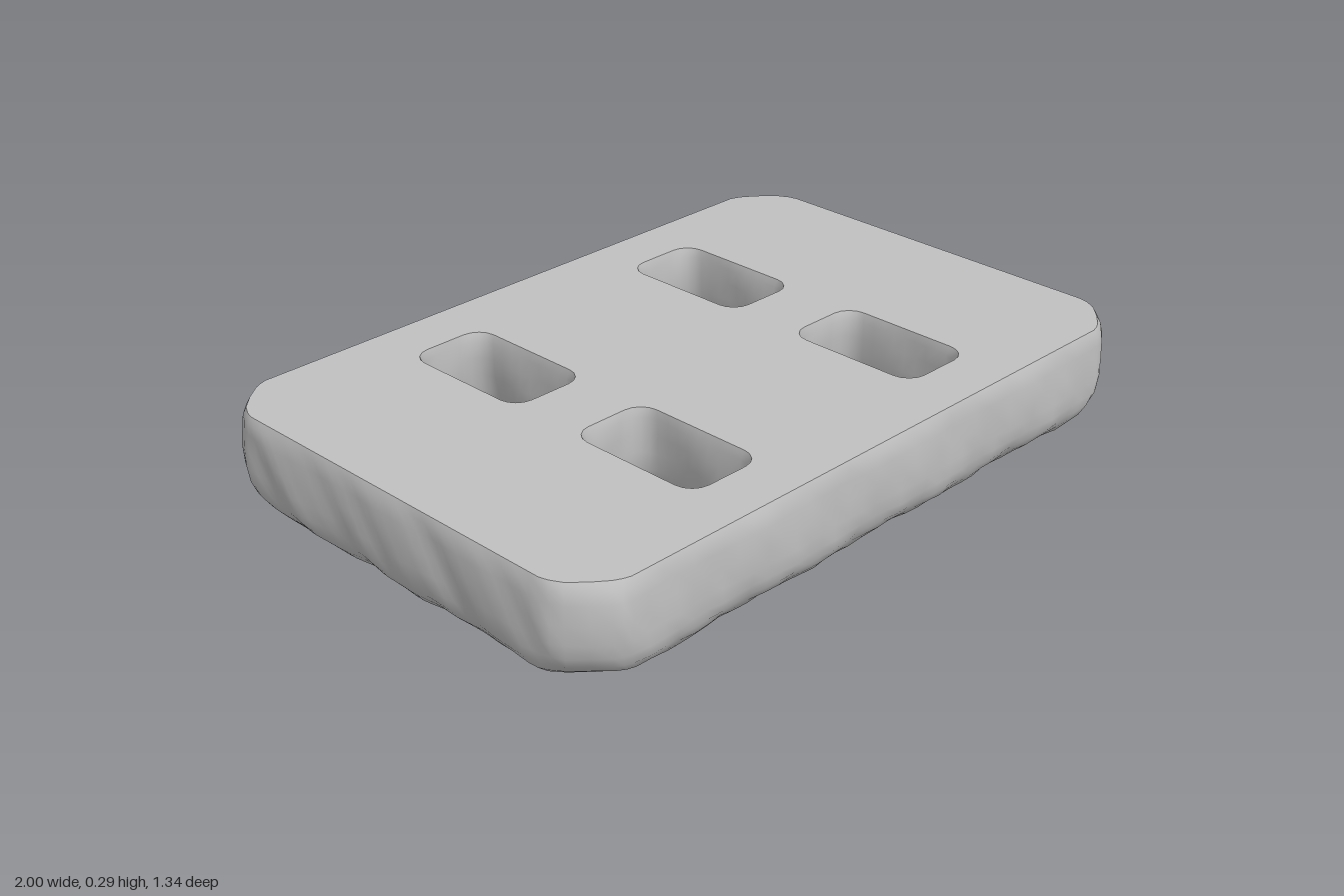
import * as THREE from 'three';

// Corner profiles: distance cut from the corner along x and z
const CHAMFER = [[0, 0.14], [0.006, 0.115], [0.022, 0.085], [0.06, 0.047], [0.1, 0.016], [0.12, 0.006], [0.14, 0]];
const ROUND = [0, 1, 2, 3, 4].map(i => {
  const a = i / 4 * Math.PI / 2;
  return [0.055 * (1 - Math.cos(a)), 0.055 * (1 - Math.sin(a))];
});

// Closed outline running from +x towards +z, with evenly divided straight sides
function outline(cx, cz, hw, hd, corner, scale, divisions) {
  const corners = [];
  for (const [sx, sz] of [[1, 1], [-1, 1], [-1, -1], [1, -1]]) {
    const part = corner.map(([a, b]) => new THREE.Vector2(cx + sx * (hw - a * scale), cz + sz * (hd - b * scale)));
    corners.push(sx * sz > 0 ? part : part.reverse());
  }
  const points = [];
  corners.forEach((part, k) => {
    points.push(...part);
    const from = part[part.length - 1], to = corners[(k + 1) % 4][0];
    for (let i = 1; i < divisions; i++) points.push(from.clone().lerp(to, i / divisions));
  });
  return points;
}

// Gentle lumps for the uneven cast sides
function lump(x, y, z) {
  return 0.5 * Math.sin(13 * x + 9 * y + 17 * z) + 0.3 * Math.sin(31 * x - 23 * y - 27 * z + 1)
    + 0.2 * Math.sin(52 * x + 41 * y + 47 * z + 2);
}

// Wall lofted downwards through levels of [y, outward offset, lump size, corner scale]
function wall(cx, cz, hw, hd, corner, divisions, levels, inward) {
  const rings = levels.map(([, d, , s]) => outline(cx, cz, hw + d, hd + d, corner, s, divisions));
  const n = rings[0].length, positions = [], index = [];
  rings.forEach((ring, j) => {
    const [y, , size] = levels[j];
    ring.forEach((p, i) => {
      const t = ring[(i + 1) % n].clone().sub(ring[(i + n - 1) % n]).normalize();
      const w = size * lump(p.x, y, p.y);
      positions.push(p.x + t.y * w, y, p.y - t.x * w);
      if (j === rings.length - 1) return;
      const a = j * n + i, b = j * n + (i + 1) % n, c = a + n, e = b + n;
      index.push(...(inward ? [a, c, b, b, c, e] : [a, b, c, b, e, c]));
    });
  });
  const geometry = new THREE.BufferGeometry();
  geometry.setAttribute('position', new THREE.Float32BufferAttribute(positions, 3));
  geometry.setIndex(index);
  geometry.computeVertexNormals();
  return { geometry, top: rings[0], bottom: rings[rings.length - 1] };
}

// Flat face with four openings
function face(outer, holes, y, up) {
  const flip = pts => pts.map(p => new THREE.Vector2(p.x, up ? -p.y : p.y));
  const shape = new THREE.Shape(flip(outer));
  shape.holes = holes.map(h => new THREE.Path(flip(h)));
  return new THREE.ShapeGeometry(shape).rotateX(up ? -Math.PI / 2 : Math.PI / 2).translate(0, y, 0);
}

export function createModel() {
  const group = new THREE.Group();
  group.name = 'slab';
  const grey = new THREE.MeshStandardMaterial({ color: 0xc0c0c0 });
  grey.name = 'plain grey';
  const add = (geometry, name) => {
    const mesh = new THREE.Mesh(geometry, grey);
    mesh.name = name;
    group.add(mesh);
  };

  // Outer side, bulging slightly and rolling under at the base
  const side = wall(0, 0, 0.98, 0.652, CHAMFER, 36, [
    [0.29, 0, 0, 1], [0.27, 0.008, 0.002, 1], [0.24, 0.012, 0.006, 1], [0.19, 0.014, 0.007, 1],
    [0.14, 0.013, 0.007, 1], [0.1, 0.009, 0.008, 1], [0.07, 0, 0.009, 1], [0.045, -0.015, 0.009, 1.05],
    [0.02, -0.038, 0.009, 1.1], [0, -0.068, 0.006, 1.15],
  ], false);
  add(side.geometry, 'outerSide');

  // Four slots, flaring out towards the underside
  const slots = [];
  for (const x of [-0.387, 0.387]) for (const z of [-0.3, 0.3]) {
    const slot = wall(x, z, 0.115, 0.2, ROUND, 8, [
      [0.29, 0, 0, 1], [0.265, -0.006, 0.003, 1], [0.22, -0.007, 0.006, 1], [0.17, -0.005, 0.007, 1],
      [0.12, 0.002, 0.007, 1.1], [0.08, 0.014, 0.007, 1.3], [0.045, 0.03, 0.007, 1.6],
      [0.02, 0.046, 0.006, 1.9], [0, 0.065, 0, 2.2],
    ], true);
    slots.push(slot);
    add(slot.geometry, 'slotWall');
  }

  // Flat top and underside
  add(face(side.top, slots.map(s => s.top), 0.29, true), 'topFace');
  add(face(side.bottom, slots.map(s => s.bottom), 0, false), 'underside');
  return group;
}
